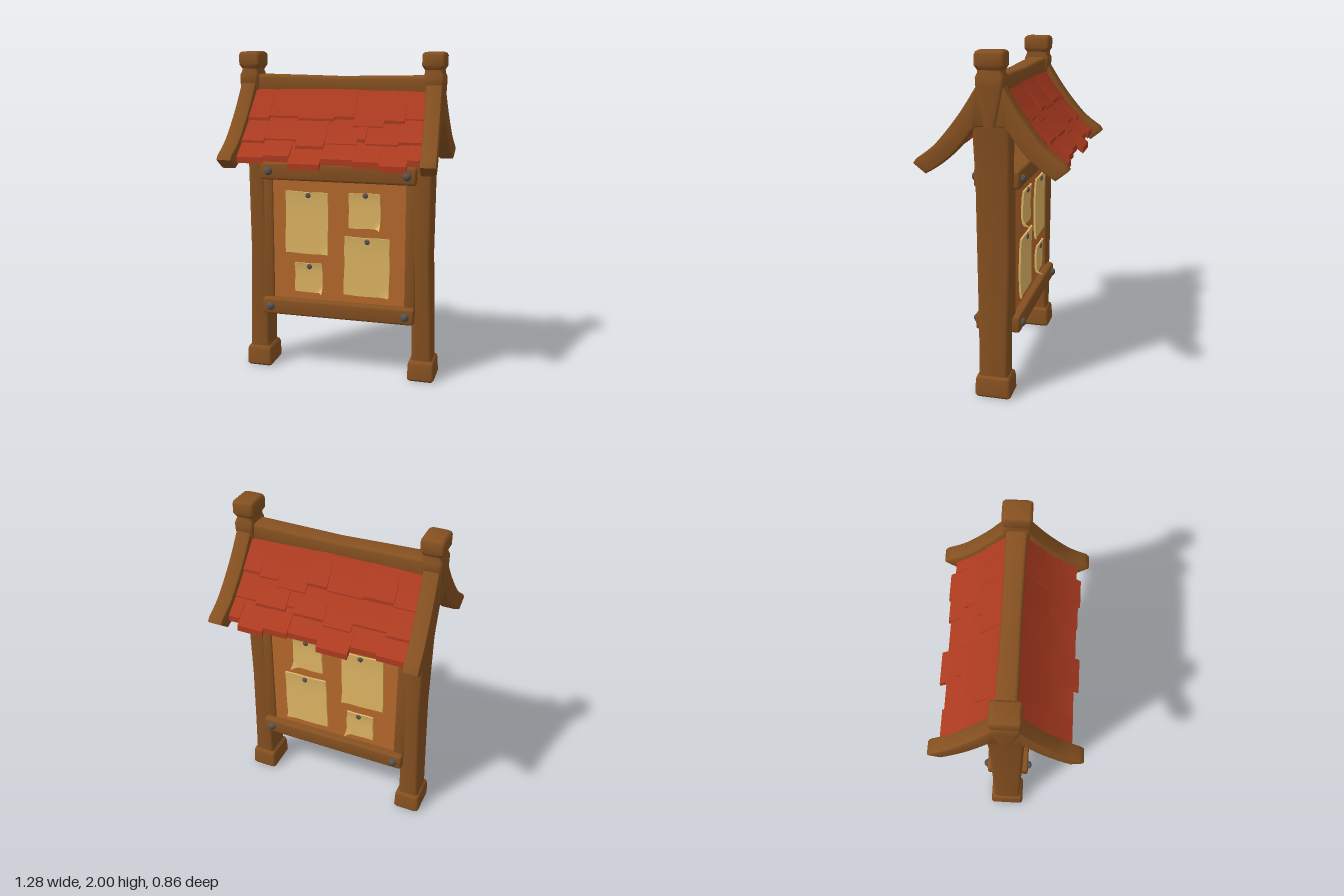
import * as THREE from 'three';
import { toCreasedNormals } from 'three/addons/utils/BufferGeometryUtils.js';
import { RoundedBoxGeometry } from 'three/addons/geometries/RoundedBoxGeometry.js';

const material = (name, color) => {
  const m = new THREE.MeshStandardMaterial({ color });
  m.name = name;
  return m;
};

// Mirrored copy of a geometry with its winding kept outward and edges creased.
function finish(geo, sx = 1, sz = 1) {
  const g = geo.index ? geo.toNonIndexed() : geo.clone();
  g.deleteAttribute('uv');
  g.deleteAttribute('normal');
  g.clearGroups();
  const p = g.attributes.position;
  p.applyMatrix4(new THREE.Matrix4().makeScale(sx, 1, sz));
  if (sx * sz < 0) {
    const a = p.array;
    for (let i = 0; i < a.length; i += 9) {
      for (let k = 3; k < 6; k++) [a[i + k], a[i + k + 3]] = [a[i + k + 3], a[i + k]];
    }
  }
  return toCreasedNormals(g, 0.6);
}

// Moves every vertex by a rule.
function bend(geo, rule) {
  const p = geo.attributes.position, v = new THREE.Vector3();
  for (let i = 0; i < p.count; i++) {
    rule(v.fromBufferAttribute(p, i));
    p.setXYZ(i, v.x, v.y, v.z);
  }
  return geo;
}

// Rounded-rectangle sections [y, centre x, half width, half depth] joined upward.
function loft(sections, r = 0.02) {
  const pos = [], idx = [], n = 16;
  for (const [y, cx, hx, hz] of sections) {
    for (let q = 0; q < 4; q++) for (let k = 0; k < 4; k++) {
      const a = (q + k / 3) * Math.PI / 2;
      const sx = q === 0 || q === 3 ? 1 : -1, sz = q < 2 ? -1 : 1;
      pos.push(cx + sx * (hx - r) + r * Math.cos(a), y, sz * (hz - r) - r * Math.sin(a));
    }
  }
  const last = (sections.length - 1) * n;
  for (let i = 0; i < last; i += n) for (let j = 0; j < n; j++) {
    const a = i + j, b = i + (j + 1) % n;
    idx.push(a, b, b + n, a, b + n, a + n);
  }
  for (let j = 1; j < n - 1; j++) idx.push(0, j + 1, j, last, last + j, last + j + 1);
  const g = new THREE.BufferGeometry();
  g.setAttribute('position', new THREE.Float32BufferAttribute(pos, 3));
  g.setIndex(idx);
  return g;
}

// Height of the sagging roof surface at distance d from the ridge.
const roofY = d => 1.77 - 1.6 * (d - 0.06) + 1.1 * (d - 0.06) ** 2;

// A shingle between x0..x1 and d0..d1, lifted toward its lower edge.
function shingle(x0, x1, d0, d1, lift) {
  return bend(new THREE.BoxGeometry(1, 0.036, 1, 1, 1, 5), v => {
    const t = v.z + 0.5, d = d0 + (d1 - d0) * t;
    v.set(x0 + (x1 - x0) * (v.x + 0.5), roofY(d) + v.y - 0.018 + lift * t, d);
  });
}

export function createModel() {
  const model = new THREE.Group();
  model.name = 'noticeBoard';
  const wood = material('wood', 0x855020), boardWood = material('boardWood', 0xb5692c);
  const red = material('roofRed', 0xad3b20), paper = material('paper', 0xdfb664);
  const metal = material('metal', 0x55524f);

  const add = (name, geo, mat, sx, sz) => {
    const m = new THREE.Mesh(finish(geo, sx, sz), mat);
    m.name = name;
    model.add(m);
  };
  const block = (w, h, d, r, x, y, z) =>
    new RoundedBoxGeometry(w, h, d, 2, r).translate(x, y, z);

  // Curved barge board outline, x = distance from ridge
  const outline = new THREE.Shape();
  outline.moveTo(0, 1.8);
  outline.lineTo(0.07, 1.8);
  outline.splineThru([[0.165, 1.652], [0.295, 1.492], [0.405, 1.405]].map(p => new THREE.Vector2(...p)));
  outline.lineTo(0.415, 1.39);
  outline.lineTo(0.36, 1.346);
  outline.splineThru([[0.29, 1.39], [0.19, 1.48], [0.09, 1.61]].map(p => new THREE.Vector2(...p)));
  outline.lineTo(0, 1.61);
  const barge = bend(new THREE.ExtrudeGeometry(outline, {
    depth: 0.07, bevelSize: 0.012, bevelThickness: 0.012, bevelSegments: 2, curveSegments: 5,
  }), v => v.set(0.597 - v.z + 0.08 * v.x, v.y, v.x));

  for (const s of [1, -1]) {
    // Post with foot, upper block and cap
    add('post', loft([[0.08, 0.529, 0.064, 0.086], [0.4, 0.523, 0.06, 0.088], [0.8, 0.517, 0.053, 0.096],
      [1.3, 0.52, 0.053, 0.1], [1.5, 0.53, 0.056, 0.106], [1.64, 0.545, 0.058, 0.1]]), wood, s);
    add('postFoot', loft([[0, 0.527, 0.076, 0.1], [0.012, 0.527, 0.084, 0.108], [0.1, 0.527, 0.081, 0.105],
      [0.118, 0.527, 0.077, 0.1], [0.13, 0.527, 0.064, 0.088]]), wood, s);
    add('postTop', loft([[1.6, 0.565, 0.054, 0.036], [1.82, 0.565, 0.06, 0.078], [1.86, 0.564, 0.06, 0.08],
      [1.885, 0.562, 0.053, 0.07], [1.93, 0.56, 0.053, 0.07]]), wood, s);
    add('postCap', loft([[1.9, 0.561, 0.054, 0.07], [1.923, 0.561, 0.067, 0.083], [1.98, 0.561, 0.067, 0.083],
      [1.993, 0.561, 0.062, 0.078], [2, 0.561, 0.052, 0.068]]), wood, s);
    add('frameStile', block(0.07, 0.84, 0.19, 0.012, 0.452, 0.85, 0), wood, s);
    for (const f of [1, -1]) add('bargeBoard', barge, wood, s, f);
  }

  // Ridge beam, dipping slightly in the middle
  add('ridgeBeam', loft([[-0.53, -1.808, 0.058, 0.06], [-0.25, -1.805, 0.056, 0.057], [0, -1.801, 0.055, 0.055],
    [0.25, -1.805, 0.056, 0.057], [0.53, -1.808, 0.058, 0.06]]).rotateZ(-Math.PI / 2), wood);

  // Board and rails
  add('board', new THREE.BoxGeometry(0.86, 0.84, 0.17).translate(0, 0.85, 0), boardWood);
  add('topRail', block(0.97, 0.108, 0.268, 0.016, 0, 1.285, 0), wood);
  add('bottomRail', block(0.97, 0.104, 0.268, 0.016, 0, 0.42, 0), wood);

  // Shingle rows: top distance, then [right edge x, lower distance] per shingle
  const rows = [
    [0.03, [[-0.4, 0.18], [-0.22, 0.17], [0, 0.178], [0.12, 0.168], [0.3, 0.203], [0.42, 0.18], [0.54, 0.17]]],
    [0.13, [[-0.4, 0.282], [-0.2, 0.27], [-0.03, 0.302], [0.16, 0.283], [0.21, 0.262], [0.4, 0.28], [0.54, 0.27]]],
    [0.23, [[-0.38, 0.366], [-0.22, 0.358], [-0.03, 0.394], [0.16, 0.364], [0.31, 0.372], [0.47, 0.388], [0.54, 0.356]]],
  ];
  // Papers: centre x, centre y, width, height, tilt, curled corner, pin x, pin y
  const papers = [
    [-0.197, 0.965, 0.268, 0.39, -0.015, 0.008, -0.185, 1.14],
    [0.168, 1.058, 0.193, 0.218, 0.005, 0.045, 0.175, 1.155],
    [-0.187, 0.615, 0.175, 0.188, 0.005, 0.045, -0.18, 0.69],
    [0.183, 0.708, 0.28, 0.372, -0.015, 0.008, 0.187, 0.87],
  ];
  for (const f of [1, -1]) {
    rows.forEach(([top, list], r) => {
      let x = -0.54;
      list.forEach(([x1, low], i) => {
        const jitter = 0.006 * Math.sin(i * 2.7 + r * 1.9 + f);
        add('shingle', shingle(x, x1, top, low + jitter / 2, 0.02 + jitter), red, 1, f);
        x = x1;
      });
    });
    for (const [cx, cy, w, h, tilt, curl, px, py] of papers) {
      // Sheet ripples slightly, lifts at its top edge and curls at one lower corner
      const sheet = bend(new THREE.BoxGeometry(w, h, 0.012, 12, 12, 1), v => {
        const u = v.x / w + 0.5, t = v.y / h + 0.5;
        const c = Math.max(0, (u - t - 0.78) / 0.22);
        v.x += 0.0015 * Math.sin(t * 9 + cx * 20) - 0.006 * (1 - t) * (0.5 - u);
        v.y += 0.0015 * Math.sin(u * 8 + cy * 20);
        v.z += 0.008 * t ** 6 + curl * c * c;
      }).rotateZ(tilt).translate(cx, cy, 0.094);
      add('paper', sheet, paper, 1, f);
      add('pinHead', new THREE.SphereGeometry(0.017, 12, 8).scale(1, 1, 0.6).translate(px, py, 0.108), metal, 1, f);
    }
    for (const x of [-0.43, 0.43]) for (const y of [0.42, 1.285]) {
      add('bolt', new THREE.SphereGeometry(0.026, 14, 10).scale(1, 1, 0.9).translate(x, y, 0.135), metal, 1, f);
    }
  }
  return model;
}
